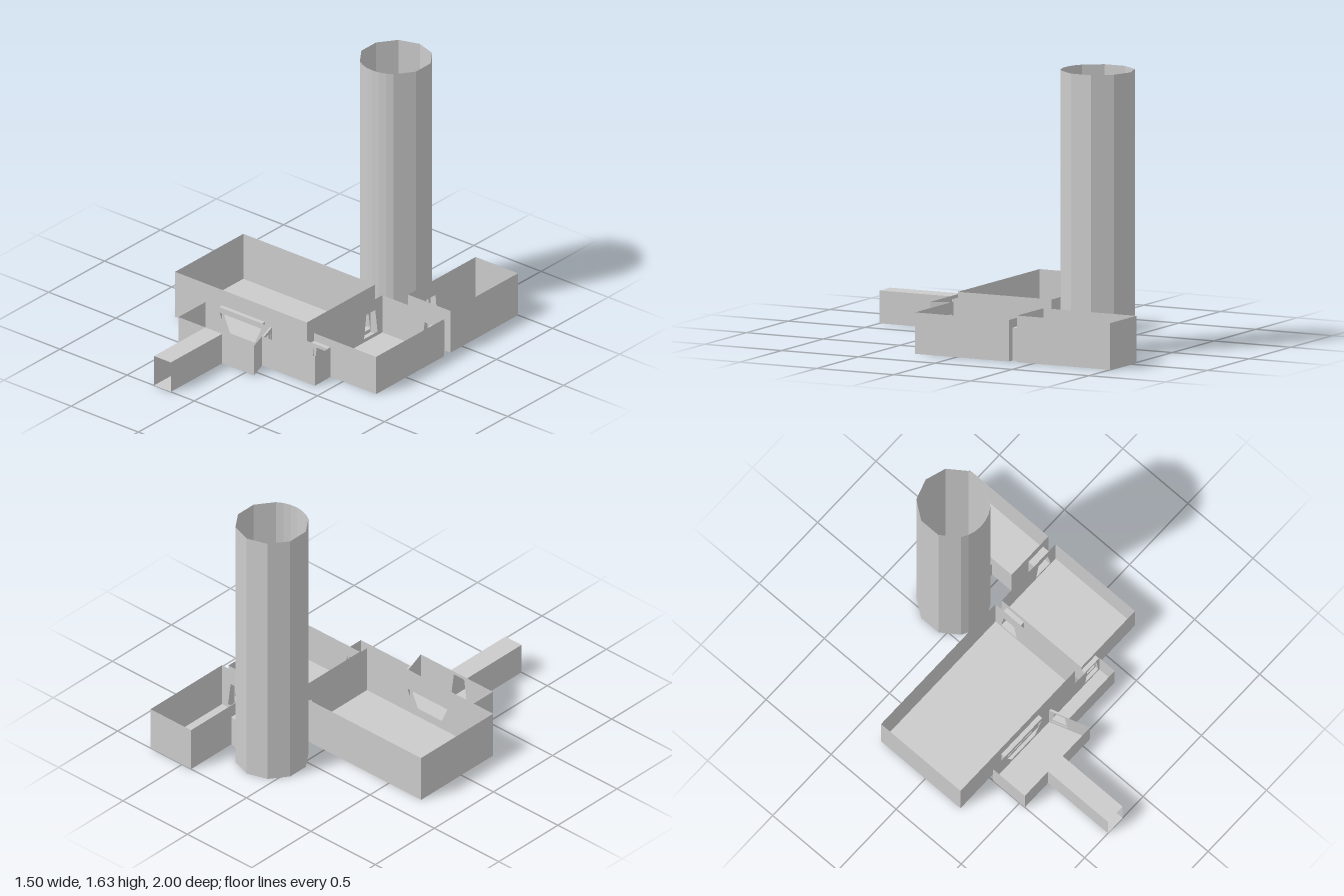
import * as THREE from 'three';
import { mergeGeometries } from 'three/addons/utils/BufferGeometryUtils.js';

const material = new THREE.MeshStandardMaterial({
  color: 0xcccccc, flatShading: true, side: THREE.DoubleSide,
});
const TUNNEL_HEIGHT = 0.19;

const toShape = (pts) => new THREE.Shape(pts.map(([a, b]) => new THREE.Vector2(a, b)));

// Horizontal slab outline given as [x, z] points
function slab(pts, y) {
  return new THREE.ShapeGeometry(toShape(pts)).rotateX(Math.PI / 2).translate(0, y, 0);
}

// Trapezoid doorway: centre along the wall, bottom and top widths, sill and head heights
function door(at, { bottom = 0.12, top = 0.08, sill = 0.022, head = 0.17 } = {}) {
  return { at, bottom, top, sill, head };
}

// Thin upright wall between two [x, z] points, with doorways cut out
function wall([x0, z0], [x1, z1], height, doors = []) {
  const dx = x1 - x0, dz = z1 - z0, length = Math.hypot(dx, dz);
  const shape = toShape([[0, 0], [length, 0], [length, height], [0, height]]);
  for (const d of doors) {
    const c = d.at * length;
    shape.holes.push(toShape([
      [c - d.bottom / 2, d.sill], [c - d.top / 2, d.head],
      [c + d.top / 2, d.head], [c + d.bottom / 2, d.sill],
    ]));
  }
  return new THREE.ShapeGeometry(shape)
    .rotateY(-Math.atan2(dz, dx))
    .translate(x0, 0, z0);
}

function part(name, geometries) {
  const mesh = new THREE.Mesh(mergeGeometries(geometries), material);
  mesh.name = name;
  return mesh;
}

// Roofless room: a floor and one wall per outline edge; doors are keyed by edge
function room(name, pts, height, doors = {}) {
  return part(name, [
    slab(pts, 0),
    ...pts.map((p, i) => wall(p, pts[(i + 1) % pts.length], height, doors[i])),
  ]);
}

// Roofed passage from edge a0-a1 to edge b0-b1, open at both ends
function tunnel(name, a0, a1, b0, b1) {
  const outline = [a0, a1, b1, b0];
  return part(name, [
    slab(outline, 0), slab(outline, TUNNEL_HEIGHT),
    wall(a0, b0, TUNNEL_HEIGHT), wall(a1, b1, TUNNEL_HEIGHT),
  ]);
}

// Rectangle outline; edges in order: back, right (+x), front, left (-x)
const rect = (x0, x1, z0, z1) => [[x0, z0], [x1, z0], [x1, z1], [x0, z1]];

export function createModel() {
  const group = new THREE.Group();
  group.name = 'buildingComplex';
  const wide = { bottom: 0.2, top: 0.31, sill: 0.03, head: 0.155 };

  // Great hall
  group.add(room('greatHall', rect(-0.75, 0.23, -0.34, 0.27), 0.29, {
    1: [door(0.17)],
    2: [door(0.48, wide)],
  }));

  // Side room and back room
  group.add(room('sideRoom', rect(0.285, 0.745, -0.34, 0.27), 0.24, {
    0: [door(0.77)],
    2: [door(0.87, { bottom: 0.11 })],
    3: [door(0.83)],
  }));
  group.add(room('backRoom', rect(0.43, 0.745, -1, -0.395), 0.27, {
    2: [door(0.34)],
    3: [door(0.34, { bottom: 0.11 })],
  }));

  // Entrance room with a slanted side, and the narrow passage room beside it
  group.add(room('entranceRoom',
    [[-0.5, 0.297], [-0.02, 0.297], [0.06, 0.54], [-0.5, 0.54]], 0.19, {
      0: [door(0.54, wide)],
      1: [door(0.25, { bottom: 0.1, top: 0.07 })],
      2: [door(0.53)],
    }));
  group.add(room('passageRoom',
    [[-0.007, 0.297], [0.41, 0.297], [0.41, 0.415], [0.032, 0.415]], 0.19, {
      0: [door(0.845, { bottom: 0.11 })],
      3: [door(0.5, { bottom: 0.1, top: 0.07 })],
    }));

  // Tower: ten sides, with the front rounded by extra facets
  const angles = [-18, 18, 54, 66, 78, 90, 102, 114, 126, 162, 198, 234, 270, 306];
  const ring = angles.map((deg) => {
    const a = THREE.MathUtils.degToRad(deg);
    return [0.165 + 0.213 * Math.cos(a), -0.605 + 0.213 * Math.sin(a)];
  });
  group.add(room('tower', ring, 1.63, { 0: [door(0.5, { bottom: 0.11 })] }));

  // Passages
  group.add(tunnel('entryCorridor', [-0.3, 0.54], [-0.175, 0.54], [-0.3, 1], [-0.175, 1]));
  group.add(tunnel('hallEntrance', [-0.4, 0.27], [-0.08, 0.27], [-0.4, 0.297], [-0.08, 0.297]));
  group.add(tunnel('hallToSideRoom', [0.23, -0.3], [0.23, -0.17], [0.285, -0.3], [0.285, -0.17]));
  group.add(tunnel('sideToBackRoom',
    [0.575, -0.395], [0.7, -0.395], [0.575, -0.34], [0.7, -0.34]));
  group.add(tunnel('sideRoomToPassage',
    [0.285, 0.27], [0.407, 0.27], [0.285, 0.297], [0.407, 0.297]));
  group.add(tunnel('towerToBackRoom', ring[0], ring[1], [0.43, -0.66], [0.43, -0.545]));
  group.add(tunnel('entranceToPassage',
    [-0.02, 0.297], [0.019, 0.415], [-0.007, 0.297], [0.032, 0.415]));

  return group;
}
